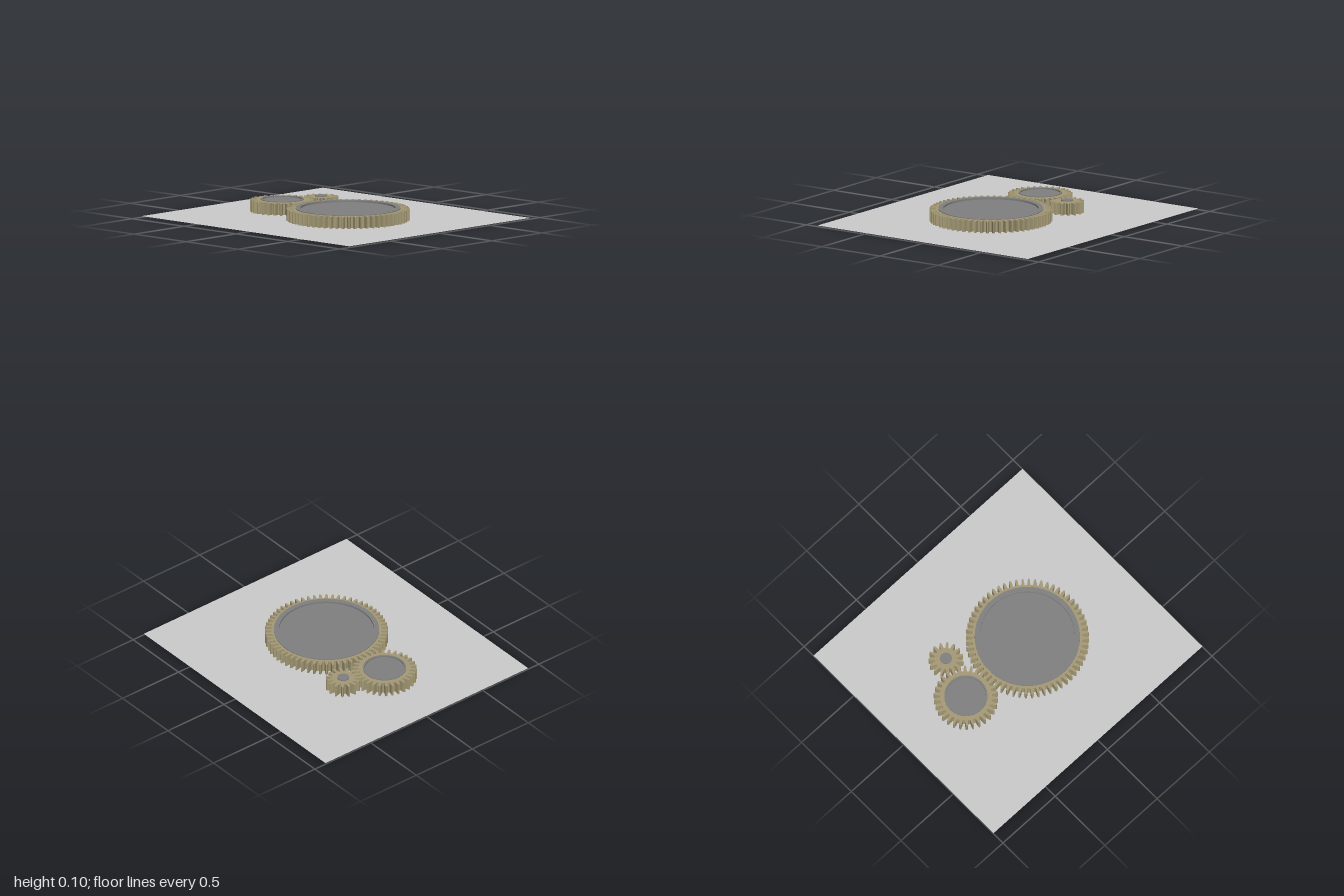
import * as THREE from 'three';

const brass = new THREE.MeshStandardMaterial({ color: 0xa59a76 });
const steel = new THREE.MeshStandardMaterial({ color: 0x808080 });
const grey = new THREE.MeshStandardMaterial({ color: 0xcccccc, side: THREE.DoubleSide });

const PLATE_Y = 0.008;
const GEAR_TOP = 0.09;
const PITCH = 0.0426; // arc length per tooth on the pitch circle

// Toothed ring lying flat, with a round bore
function toothedRing(teeth, tip, root, bore, phase) {
  const pitchR = (tip + root) / 2 + 0.002;
  // half of one tooth: [radius, half width]
  const flank = [
    [root, 0.30 * PITCH],
    [root + 0.006, 0.25 * PITCH],
    [pitchR, 0.225 * PITCH],
    [tip - 0.006, 0.16 * PITCH],
    [tip, 0.08 * PITCH],
  ];
  const outline = [];
  for (let i = 0; i < teeth; i++) {
    const mid = phase + (i / teeth) * Math.PI * 2;
    const add = ([r, w], side) => {
      const a = mid + (side * w) / r;
      outline.push(new THREE.Vector2(r * Math.cos(a), r * Math.sin(a)));
    };
    flank.forEach((p) => add(p, -1));
    [...flank].reverse().forEach((p) => add(p, 1));
  }
  const shape = new THREE.Shape(outline);
  shape.holes.push(new THREE.Path().absarc(0, 0, bore, 0, Math.PI * 2, true));
  const geo = new THREE.ExtrudeGeometry(shape, {
    depth: GEAR_TOP - PLATE_Y, bevelEnabled: false, curveSegments: 48,
  });
  geo.rotateX(-Math.PI / 2);
  geo.translate(0, PLATE_Y, 0);
  return new THREE.Mesh(geo, brass);
}

// Square-edged collar between two radii; corners are doubled to stay sharp
function collar(inner, outer, y0, y1) {
  const c = [[inner, y0], [outer, y0], [outer, y1], [inner, y1], [inner, y0]];
  const pts = [];
  for (let i = 0; i < 4; i++) {
    const a = new THREE.Vector2(...c[i]);
    const b = new THREE.Vector2(...c[i + 1]);
    pts.push(a, a.clone().lerp(b, 0.002), b.clone().lerp(a, 0.002));
  }
  pts.push(new THREE.Vector2(...c[4]));
  return new THREE.Mesh(new THREE.LatheGeometry(pts, 72), steel);
}

// Solid disc between two heights
function disc(radius, y0, y1) {
  const geo = new THREE.CylinderGeometry(radius, radius, y1 - y0, 72);
  geo.translate(0, (y0 + y1) / 2, 0);
  return new THREE.Mesh(geo, steel);
}

function named(mesh, name) {
  mesh.name = name;
  return mesh;
}

export function createModel() {
  const model = new THREE.Group();
  model.name = 'gearTrain';

  // Thin base sheet
  const plate = new THREE.PlaneGeometry(2, 1.81);
  plate.rotateX(-Math.PI / 2);
  plate.translate(0, PLATE_Y, 0);
  model.add(named(new THREE.Mesh(plate, grey), 'basePlate'));

  const gears = [
    { name: 'largeGear', x: 0.15, z: 0.037, teeth: 60, tip: 0.427, root: 0.382, bore: 0.365, inner: 0.33, floor: 0.082, phase: Math.PI / 60 },
    { name: 'mediumGear', x: -0.46, z: 0.06, teeth: 30, tip: 0.224, root: 0.18, bore: 0.15, inner: 0.138, floor: 0.085, phase: 0 },
    { name: 'smallGear', x: -0.37, z: -0.235, teeth: 15, tip: 0.122, root: 0.078, bore: 0.041, phase: Math.PI / 2 },
  ];

  for (const g of gears) {
    const gear = new THREE.Group();
    gear.name = g.name;
    gear.position.set(g.x, 0, g.z);
    gear.add(named(toothedRing(g.teeth, g.tip, g.root, g.bore, g.phase), 'toothedRing'));
    if (g.inner) {
      // Collar pokes through the plate; the web sits just below its rim
      gear.add(named(collar(g.inner, g.bore, 0, 0.095), 'collar'));
      gear.add(named(disc(g.inner, PLATE_Y + 0.004, g.floor), 'web'));
    } else {
      gear.add(named(disc(g.bore, PLATE_Y + 0.001, 0.097), 'hub'));
    }
    model.add(gear);
  }
  return model;
}
